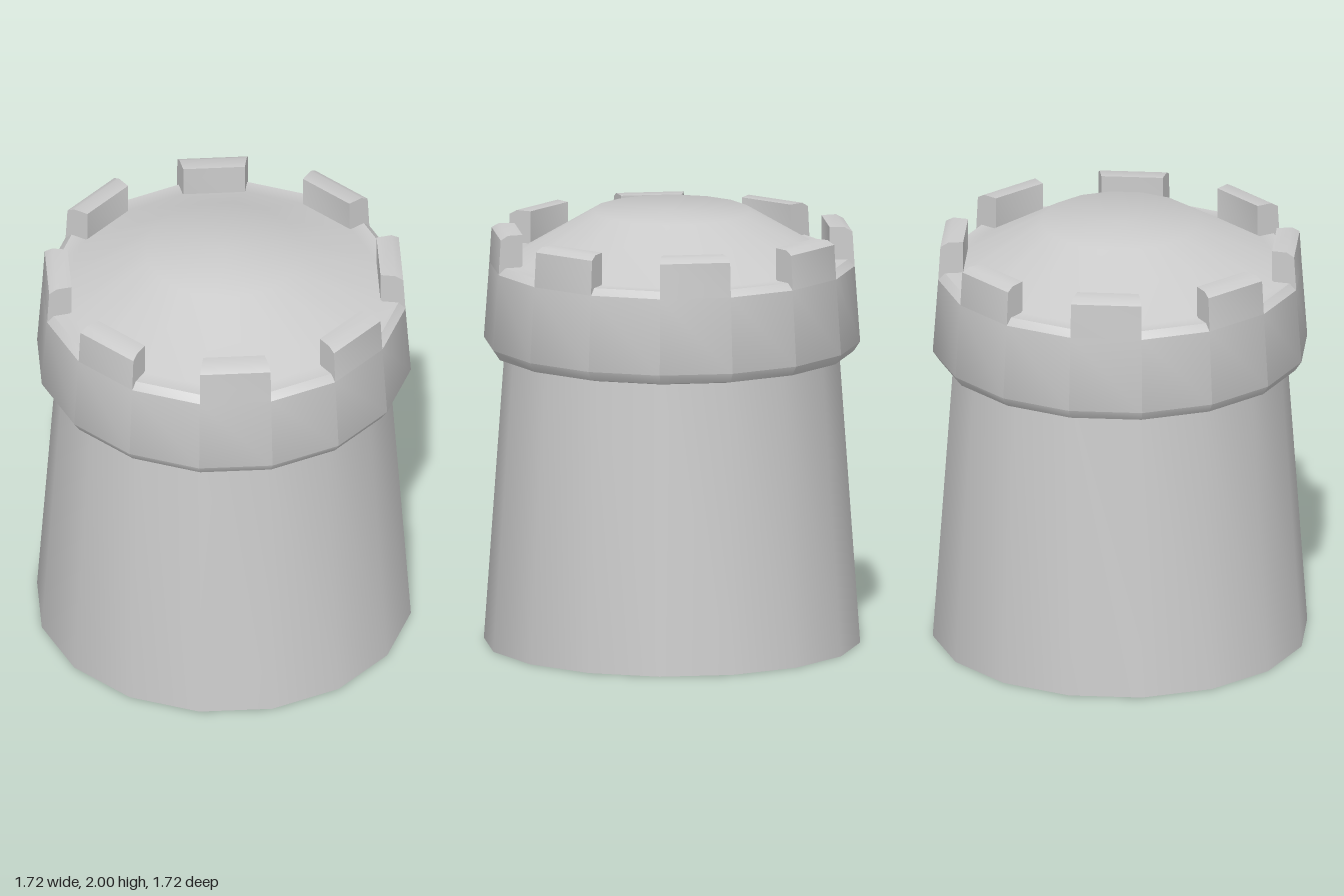
import * as THREE from 'three';
import { toCreasedNormals } from 'three/addons/utils/BufferGeometryUtils.js';

const SIDES = 16;
const STEP = (Math.PI * 2) / SIDES;
const CREASE = 0.72;

const points = (list) => list.map(([r, y]) => new THREE.Vector2(r, y));

// Sixteen-sided turned solid with soft facets and sharp rims
const turn = (profile) => toCreasedNormals(new THREE.LatheGeometry(points(profile), SIDES), CREASE);

// Keeps one facet of a turned ring, with its smooth normals
function firstFacet(ring, profileLength) {
  const count = (profileLength - 1) * 6;
  const facet = new THREE.BufferGeometry();
  for (const name of ['position', 'normal', 'uv']) {
    const { array, itemSize } = ring.getAttribute(name);
    facet.setAttribute(name, new THREE.BufferAttribute(array.slice(0, count * itemSize), itemSize));
  }
  return facet;
}

export function createModel() {
  const group = new THREE.Group();
  const stone = new THREE.MeshStandardMaterial({ color: 0xcccccc });
  const capStone = new THREE.MeshStandardMaterial({ color: 0xcccccc, side: THREE.DoubleSide });

  const add = (parent, name, geometry, material = stone) => {
    const mesh = new THREE.Mesh(geometry, material);
    mesh.name = name;
    parent.add(mesh);
    return mesh;
  };

  // Tapered tower body with closed base
  add(group, 'towerBody', turn([[0, 0], [0.86, 0], [0.765, 1.345]]));

  // Overhanging parapet, wall walk and domed roof
  add(group, 'parapetAndRoof', turn([
    [0.75, 1.337], [0.83, 1.355], [0.86, 1.4], [0.835, 1.75],
    [0.803, 1.78], [0.73, 1.78], [0.36, 2], [0, 2],
  ]));

  // Merlons stand on every second facet
  const section = [[0.72, 1.75], [0.835, 1.75], [0.825, 1.91], [0.79, 1.93], [0.72, 1.93], [0.72, 1.75]];
  const wall = firstFacet(turn(section), section.length);
  const end = new THREE.ShapeGeometry(new THREE.Shape(points(section.slice(0, -1))));
  for (let i = 0; i < SIDES; i += 2) {
    const merlon = new THREE.Group();
    merlon.name = `merlon${i / 2 + 1}`;
    merlon.rotation.y = i * STEP;
    add(merlon, 'merlonBlock', wall);
    for (const angle of [0, STEP]) {
      add(merlon, 'merlonEnd', end, capStone).rotation.y = angle - Math.PI / 2;
    }
    group.add(merlon);
  }

  return group;
}
